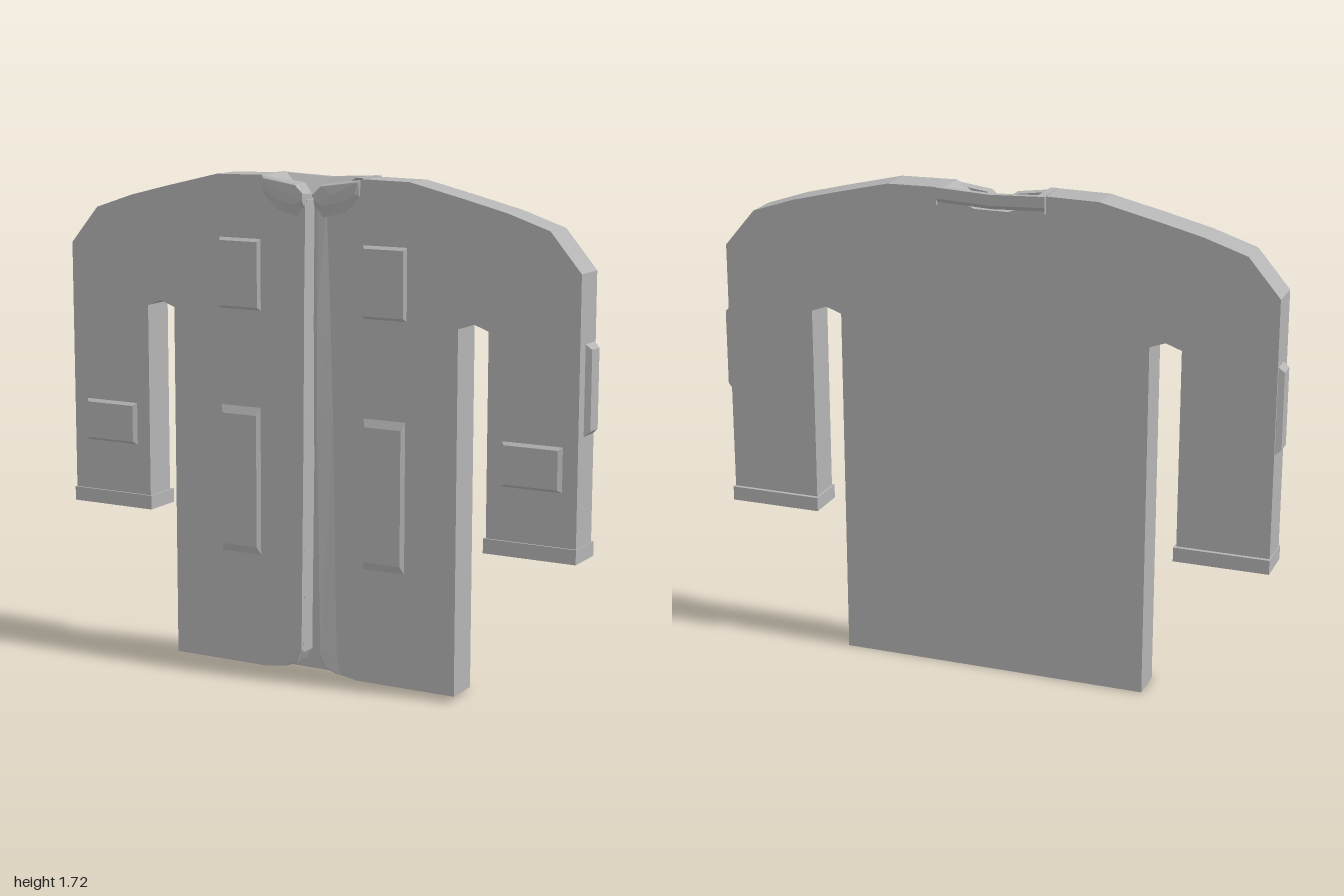
import * as THREE from 'three';

const cloth = new THREE.MeshStandardMaterial({ color: 0xb4b4b4, side: THREE.DoubleSide });
cloth.name = 'grey cloth';

// Half outline from the hem round the sleeve to the neck
const OUTLINE = [
  [0.55, 0], [0.55, 1.245], [0.605, 1.265], [0.66, 1.245], [0.66, 0.54], [0.98, 0.54],
  [0.98, 1.45], [0.87, 1.58], [0.72, 1.63], [0.56, 1.67], [0.37, 1.715], [0.19, 1.718],
];
const NECK = [[0.175, 1.7], [0.06, 1.655]];

const shapeOf = (pts) => new THREE.Shape(pts.map(([x, y]) => new THREE.Vector2(x, y)));

function add(parent, name, geometry) {
  const mesh = new THREE.Mesh(geometry, cloth);
  mesh.name = name;
  parent.add(mesh);
  return mesh;
}

// Plate in the xy plane between two depths
function plate(pts, z0, z1) {
  const g = new THREE.ExtrudeGeometry(shapeOf(pts), { depth: z1 - z0, bevelEnabled: false });
  return g.translate(0, 0, z0);
}

// Skin stretched over rows of points of equal length
function loft(rows) {
  const pos = [];
  for (let i = 0; i < rows.length - 1; i++) {
    const a = rows[i], b = rows[i + 1];
    for (let j = 0; j < a.length - 1; j++) {
      pos.push(...a[j], ...a[j + 1], ...b[j + 1], ...a[j], ...b[j + 1], ...b[j]);
    }
  }
  const g = new THREE.BufferGeometry();
  g.setAttribute('position', new THREE.Float32BufferAttribute(pos, 3));
  g.computeVertexNormals();
  return g;
}

// Raised pocket: a box whose front face is drawn in by a sloped rim
function pocket(w, h, depth, rimX, rimY) {
  const g = new THREE.BoxGeometry(w, h, depth).toNonIndexed();
  const p = g.attributes.position;
  for (let i = 0; i < p.count; i++) {
    if (p.getZ(i) > 0) {
      p.setX(i, p.getX(i) * (1 - (2 * rimX) / w));
      p.setY(i, p.getY(i) * (1 - (2 * rimY) / h));
    }
  }
  g.computeVertexNormals();
  return g;
}

function buildHalf() {
  const half = new THREE.Group();

  // Front panel with the open slit flaring at the hem
  add(half, 'frontPanel', plate([
    [0.18, 0], ...OUTLINE, ...NECK, [0.018, 1.64], [0.02, 0.9], [0.031, 0.07],
    [0.05, 0.035], [0.09, 0.015],
  ], 0, 0.06));

  // Raised edge beside the slit: y, inner x, outer x, depth
  const edge = [
    [0.012, 0.1, 0.14, 0.061], [0.035, 0.05, 0.11, 0.07], [0.08, 0.031, 0.1, 0.075],
    [0.9, 0.02, 0.085, 0.077], [1.25, 0.019, 0.075, 0.076], [1.63, 0.018, 0.06, 0.068],
  ];
  add(half, 'frontEdge', loft(edge.map(([y, a, b, z]) =>
    [[a, y, 0.055], [a, y, z], [a + 0.012, y, z], [b, y, 0.0602]])));

  // Turned-down collar flap, bevelled to a narrower front
  const back = [[0.02, 1.61], [0.05, 1.585], [0.13, 1.605], [0.185, 1.66], [0.188, 1.715], [0.045, 1.695], [0.02, 1.66]];
  const front = [[0.022, 1.64], [0.055, 1.625], [0.12, 1.638], [0.17, 1.668], [0.182, 1.708], [0.05, 1.69], [0.022, 1.665]];
  const ring = (pts, zIn, zOut) => [...pts, pts[0]].map(([x, y]) =>
    [x, y, zIn + (zOut - zIn) * (x / 0.19)]);
  add(half, 'collarFlap', loft([
    ring(back, 0.02, 0.02), ring(back, 0.066, 0.062), ring(front, 0.085, 0.07),
    ring(front.map(() => [0.09, 1.665]), 0.082, 0.08),
  ]));

  // Side of the collar running over the shoulder
  add(half, 'collarSide', loft([
    [[0.19, 1.66, -0.08], [0.19, 1.66, 0.05]],
    [[0.19, 1.721, -0.08], [0.19, 1.721, 0.05]],
    [[0.165, 1.721, -0.08], [0.165, 1.721, 0.05]],
    [[0.06, 1.65, -0.01], [0.06, 1.65, 0.05]],
  ]));

  // Front pockets: name, x, y, width, height, rim
  for (const [name, x, y, w, h, rx, ry] of [
    ['chestPocket', 0.28, 1.378, 0.18, 0.265, 0.016, 0.02],
    ['lowerPocket', 0.28, 0.658, 0.18, 0.575, 0.022, 0.055],
    ['sleevePocket', 0.82, 0.815, 0.24, 0.17, 0.025, 0.02],
  ]) add(half, name, pocket(w, h, 0.025, rx, ry)).position.set(x, y, 0.06);

  // Pocket on the outer side of the sleeve
  const side = add(half, 'sleeveSidePocket', pocket(0.088, 0.335, 0.04, 0.014, 0.035));
  side.rotation.y = Math.PI / 2;
  side.position.set(0.98, 1.072, -0.02);

  // Hollow cuff
  const cuffShape = shapeOf([[0.653, -0.067], [0.983, -0.067], [0.983, 0.079], [0.653, 0.079]]);
  cuffShape.holes.push(shapeOf([[0.685, -0.035], [0.955, -0.035], [0.955, 0.045], [0.685, 0.045]]));
  const cuff = new THREE.ExtrudeGeometry(cuffShape, { depth: 0.05, bevelEnabled: false });
  add(half, 'cuff', cuff.rotateX(-Math.PI / 2).translate(0, 0.51, 0));
  return half;
}

export function createModel() {
  const coat = new THREE.Group();
  coat.name = 'coat';

  // Back panel across both sleeves
  const right = [...OUTLINE, ...NECK];
  const left = right.map(([x, y]) => [-x, y]).reverse();
  add(coat, 'backPanel', plate([...right, ...left], -0.065, 0));

  // Collar standing at the back of the neck, sloping into the opening
  const section = [[1.66, -0.066], [1.675, -0.083], [1.712, -0.083], [1.712, -0.06], [1.655, -0.005]];
  add(coat, 'backCollar', loft([-0.19, -0.1, 0, 0.1, 0.19].map((x) =>
    section.map(([y, z]) => [x, y + Math.abs(x) * 0.045, z]))));

  // Mirrored halves
  for (const s of [1, -1]) {
    const half = buildHalf();
    half.name = s > 0 ? 'leftHalf' : 'rightHalf';
    half.scale.x = s;
    coat.add(half);
  }
  return coat;
}
